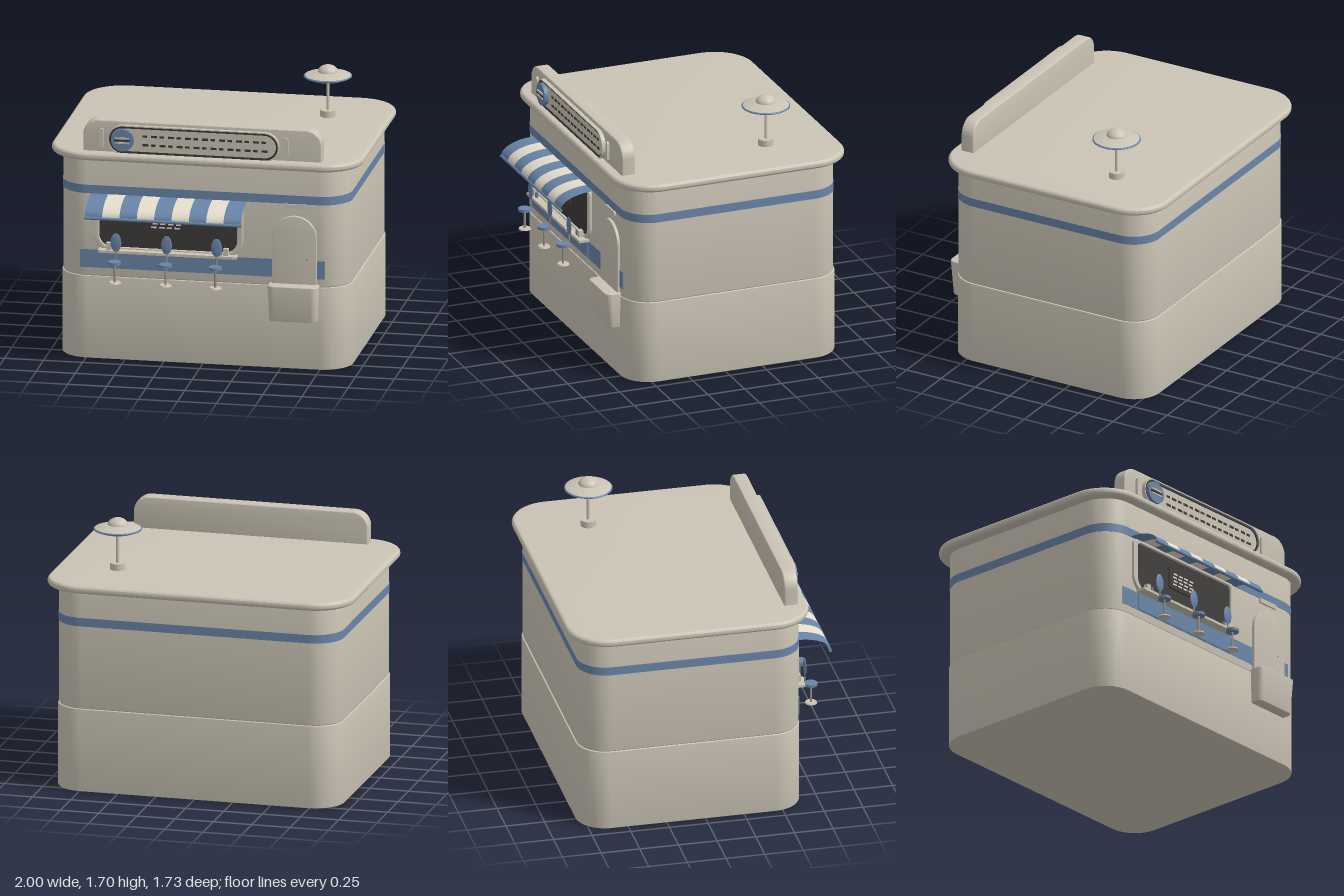
import * as THREE from 'three';
import { toCreasedNormals } from 'three/addons/utils/BufferGeometryUtils.js';

const paint = (name, color, side = THREE.FrontSide) => {
  const m = new THREE.MeshStandardMaterial({ color, side });
  m.name = name;
  return m;
};

// Rounded rectangle with separate bottom and top corner radii
function roundRect(x0, y0, x1, y1, rb, rt = rb, path = new THREE.Shape()) {
  const q = Math.PI / 2;
  path.moveTo(x0 + rb, y0);
  path.lineTo(x1 - rb, y0);
  if (rb) path.absarc(x1 - rb, y0 + rb, rb, -q, 0);
  path.lineTo(x1, y1 - rt);
  if (rt) path.absarc(x1 - rt, y1 - rt, rt, 0, q);
  path.lineTo(x0 + rt, y1);
  if (rt) path.absarc(x0 + rt, y1 - rt, rt, q, 2 * q);
  path.lineTo(x0, y0 + rb);
  if (rb) path.absarc(x0 + rb, y0 + rb, rb, 2 * q, 3 * q);
  return path;
}

// Extrusion that keeps its outline and depth when bevelled
function extrude(shape, depth, bevel = 0) {
  const g = new THREE.ExtrudeGeometry(shape, {
    depth: depth - 2 * bevel, curveSegments: 10, bevelEnabled: bevel > 0,
    bevelSize: bevel, bevelThickness: bevel, bevelOffset: -bevel, bevelSegments: 4,
  });
  g.translate(0, 0, bevel);
  return toCreasedNormals(g, 0.3);
}

export function createModel() {
  const beige = paint('beige', 0xcbc4b5);
  const blue = paint('blue', 0x6985a8, THREE.DoubleSide);
  const cream = paint('cream', 0xe6dfcf, THREE.DoubleSide);
  const dark = paint('charcoal', 0x3c3b39);
  const orange = paint('orange', 0xd0734a);
  const metal = paint('metal', 0x9a9384);

  const model = new THREE.Group();
  model.name = 'diner';

  const add = (name, geo, mat, x = 0, y = 0, z = 0, parent = model) => {
    const mesh = new THREE.Mesh(geo, mat);
    mesh.name = name;
    mesh.position.set(x, y, z);
    parent.add(mesh);
    return mesh;
  };
  const box = (name, mat, x0, x1, y0, y1, z0, z1, parent) =>
    add(name, new THREE.BoxGeometry(x1 - x0, y1 - y0, z1 - z0), mat,
      (x0 + x1) / 2, (y0 + y1) / 2, (z0 + z1) / 2, parent);
  const plate = (name, shape, z0, z1, mat, bevel = 0) =>
    add(name, extrude(shape, z1 - z0, bevel), mat, 0, 0, z0);
  const slab = (name, halfW, zBack, zFront, r, y0, y1, mat, bevel) => {
    const geo = extrude(roundRect(-halfW, -zFront, halfW, -zBack, r), y1 - y0, bevel);
    return add(name, geo.rotateX(-Math.PI / 2), mat, 0, y0, 0);
  };
  const disc = (name, r, depth, mat, x, y, z) =>
    add(name, new THREE.CylinderGeometry(r, r, depth, 32).rotateX(Math.PI / 2), mat, x, y, z);

  // Building shell
  slab('base', 0.932, -0.8, 0.641, 0.19, 0, 0.54, beige, 0.005);
  slab('upperWalls', 0.926, -0.793, 0.637, 0.185, 0.537, 1.32, beige, 0.012);
  slab('wallStripe', 0.929, -0.796, 0.64, 0.188, 1.08, 1.135, blue, 0);
  slab('roof', 1, -0.862, 0.7, 0.26, 1.308, 1.36, beige, 0.024);

  // Lower front stripe and counter front
  box('lowerStripe', blue, -0.788, 0.782, 0.595, 0.712, 0.634, 0.64);
  box('counterFront', blue, -0.642, 0.21, 0.6, 0.712, 0.637, 0.646);

  // Sign with a rounded top, framed panel and side ribs
  plate('signBoard', roundRect(-0.768, 1.35, 0.762, 1.565, 0, 0.1), 0.545, 0.636, beige, 0.012);
  const stadium = (inset, path) =>
    roundRect(-0.605 + inset, 1.352 + inset, 0.492 - inset, 1.542 - inset, 0.0945 - inset, undefined, path);
  const ring = (outer, inner) => {
    const s = stadium(outer);
    s.holes.push(stadium(inner, new THREE.Path()));
    return s;
  };
  plate('signFrame', ring(0, 0.007), 0.63, 0.662, beige);
  plate('signDarkRim', ring(0.007, 0.02), 0.63, 0.655, dark);
  plate('signPanel', stadium(0.018), 0.63, 0.648, beige);
  for (const x of [-0.648, 0.533])
    plate('signRib', roundRect(x - 0.015, 1.38, x + 0.015, 1.51, 0.014), 0.63, 0.65, beige);
  disc('signDisc', 0.072, 0.03, blue, -0.51, 1.447, 0.66);
  [[0.045, 1.462], [0.05, 1.447], [0.045, 1.432]].forEach(([w, y], i) =>
    box('signDiscBar', i === 1 ? dark : beige, -0.51 - w, -0.51 + w, y - 0.005, y + 0.005, 0.674, 0.682));
  // Plain dash decoration
  for (let row = 0; row < 2; row++)
    for (let i = 0; i < 15; i++) {
      const x = -0.385 + i * 0.0545, w = 0.03 + 0.008 * ((i + row) % 2);
      const y = 1.475 - row * 0.057;
      box('signDash', dark, x, x + w, y - 0.008, y + 0.006, 0.646, 0.652);
    }

  // Serving window
  const frame = roundRect(-0.7, 0.72, 0.26, 1.075, 0.1, 0.04);
  frame.holes.push(roundRect(-0.662, 0.74, 0.222, 1.055, 0.08, 0.03, new THREE.Path()));
  plate('windowFrame', frame, 0.632, 0.656, beige, 0.006);
  plate('windowOpening', roundRect(-0.68, 0.73, 0.24, 1.065, 0.08, 0.03), 0.635, 0.642, dark);
  plate('menuBoard', roundRect(-0.36, 0.85, -0.08, 1.0, 0.015), 0.64, 0.652, dark);
  for (let row = 0; row < 4; row++)
    for (let i = 0; i < 4; i++) {
      const x = -0.328 + i * 0.05 + (row % 2) * 0.008, y = 0.882 + row * 0.024;
      box('menuDash', cream, x, x + 0.034, y - 0.005, y + 0.005, 0.65, 0.655);
    }
  box('counter', beige, -0.66, 0.225, 0.713, 0.73, 0.64, 0.708);

  // Small holders and cups on the counter
  for (const [x, s] of [[-0.595, 1], [0.155, -1]]) {
    box('napkinHolder', beige, x - 0.016, x + 0.016, 0.73, 0.775, 0.66, 0.69);
    add('cup', new THREE.CylinderGeometry(0.012, 0.01, 0.035, 16), blue, x + s * 0.035, 0.747, 0.68);
  }

  // Striped curved awning
  const awning = new THREE.Group();
  awning.name = 'awning';
  model.add(awning);
  const stripeW = 1 / 9;
  for (let i = 0; i < 9; i++) {
    const geo = new THREE.PlaneGeometry(stripeW, 1, 1, 14);
    const p = geo.attributes.position;
    for (let k = 0; k < p.count; k++) {
      const a = (0.5 - p.getY(k)) * Math.PI / 2;
      p.setY(k, 0.985 + 0.095 * Math.cos(a));
      p.setZ(k, 0.637 + 0.222 * Math.sin(a));
    }
    geo.computeVertexNormals();
    add('awningStripe', geo, i % 2 ? cream : blue, -0.715 + (i + 0.5) * stripeW, 0, 0, awning);
  }
  add('awningEdge', new THREE.CylinderGeometry(0.01, 0.01, 1.004, 16).rotateZ(Math.PI / 2),
    blue, -0.215, 0.981, 0.857, awning);

  // Stools with oval backrests
  for (const x of [-0.54, -0.215, 0.105]) {
    const stool = new THREE.Group();
    stool.name = 'stool';
    stool.position.set(x, 0, 0.77);
    model.add(stool);
    add('stoolFoot', new THREE.CylinderGeometry(0.036, 0.04, 0.008, 24), beige, 0, 0.541, 0, stool);
    add('stoolPost', new THREE.CylinderGeometry(0.007, 0.007, 0.12, 12), metal, 0, 0.6, 0, stool);
    add('stoolSeat', new THREE.CylinderGeometry(0.041, 0.041, 0.018, 24), blue, 0, 0.67, 0, stool);
    add('backrestPost', new THREE.CylinderGeometry(0.005, 0.005, 0.09, 8), metal, 0, 0.71, -0.04, stool);
    add('backrest', new THREE.SphereGeometry(1, 24, 16).scale(0.035, 0.06, 0.008), blue, 0, 0.792, -0.04, stool);
  }

  // Arched door with porthole and knob
  const arch = roundRect(0.445, 0.545, 0.733, 1.003, 0, 0.143);
  arch.holes.push(roundRect(0.473, 0.547, 0.705, 0.975, 0, 0.115, new THREE.Path()));
  plate('doorFrame', arch, 0.63, 0.656, beige, 0.005);
  plate('door', roundRect(0.47, 0.545, 0.708, 0.978, 0, 0.118), 0.634, 0.643, orange);
  disc('portholeGlass', 0.028, 0.012, dark, 0.589, 0.845, 0.643);
  add('portholeRing', new THREE.TorusGeometry(0.031, 0.006, 10, 32), metal, 0.589, 0.845, 0.645);
  add('doorKnob', new THREE.SphereGeometry(0.009, 16, 12), metal, 0.67, 0.726, 0.65);
  plate('doorLamp', roundRect(0.51, 1.05, 0.662, 1.08, 0.006), 0.63, 0.65, beige);

  // Tapered doorstep with rounded front corners
  const stepGeo = extrude(roundRect(-0.16, -0.097, 0.16, 0.02, 0.04, 0), 0.235, 0.008)
    .rotateX(-Math.PI / 2);
  const sp = stepGeo.attributes.position;
  for (let k = 0; k < sp.count; k++) {
    const t = 1 - sp.getY(k) / 0.235;
    sp.setX(k, sp.getX(k) * (1 - 0.04 * t));
    if (sp.getZ(k) > 0) sp.setZ(k, sp.getZ(k) * (1 - 0.22 * t));
  }
  add('doorStep', toCreasedNormals(stepGeo, 0.3), beige, 0.587, 0.325, 0.639);

  // Rooftop saucer on a pole
  const saucer = new THREE.Group();
  saucer.name = 'roofSaucer';
  saucer.position.set(0.605, 0, -0.405);
  model.add(saucer);
  const lathe = (name, pts, mat) =>
    add(name, new THREE.LatheGeometry(pts.map(([r, y]) => new THREE.Vector2(r, y)), 48), mat, 0, 0, 0, saucer);
  add('poleFoot', new THREE.CylinderGeometry(0.049, 0.049, 0.044, 32), beige, 0, 1.38, 0, saucer);
  add('pole', new THREE.CylinderGeometry(0.01, 0.01, 0.21, 16), beige, 0, 1.495, 0, saucer);
  lathe('saucerUnderside', [[0, 1.589], [0.06, 1.593], [0.11, 1.603], [0.146, 1.617]], beige);
  lathe('saucerRim', [[0.146, 1.617], [0.153, 1.621], [0.153, 1.626], [0.146, 1.63]], blue);
  lathe('saucerTop', [[0.146, 1.63], [0.11, 1.642], [0.06, 1.653], [0, 1.656]], beige);
  add('saucerDome', new THREE.SphereGeometry(0.065, 32, 10, 0, Math.PI * 2, 0, Math.PI / 2).scale(1, 0.75, 1),
    beige, 0, 1.647, 0, saucer);

  return model;
}
